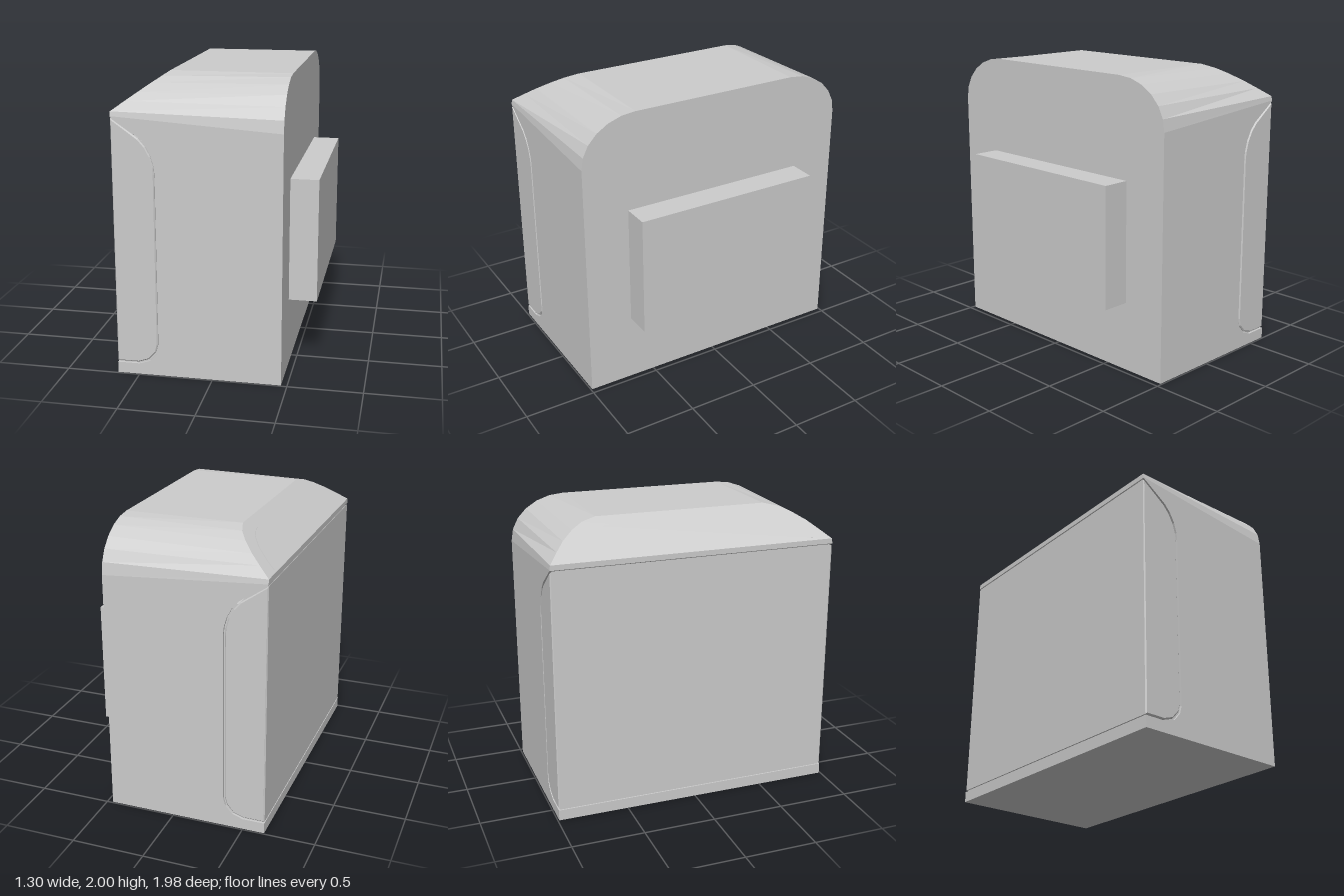
import * as THREE from 'three';

const material = new THREE.MeshStandardMaterial({ color: 0xcccccc, flatShading: true, side: THREE.DoubleSide });

function add(group, name, geometry) {
  const mesh = new THREE.Mesh(geometry, material);
  mesh.name = name;
  group.add(mesh);
  return mesh;
}

function box(x0, x1, y0, y1, halfZ) {
  return new THREE.BoxGeometry(x1 - x0, y1 - y0, halfZ * 2).translate((x0 + x1) / 2, (y0 + y1) / 2, 0);
}

// Mirror a half profile (z+ side, going up) into a full one across z
const mirror = half => [...half, ...half.map(([x, y, z]) => [x, y, -z]).reverse()];

// Triangles between two matching rows, and a fan over a convex outline
function skin(a, b) {
  const tris = [];
  for (let i = 0; i < a.length - 1; i++) tris.push(a[i], b[i], b[i + 1], a[i], b[i + 1], a[i + 1]);
  return tris;
}
function cap(p) {
  const tris = [];
  for (let i = 1; i < p.length - 1; i++) tris.push(p[0], p[i], p[i + 1]);
  return tris;
}
function fromTriangles(points) {
  const g = new THREE.BufferGeometry();
  g.setAttribute('position', new THREE.Float32BufferAttribute(points.flat(), 3));
  g.computeVertexNormals();
  return g;
}

// Height of the sloping rear roof at a given x
const slopeY = x => 2 - (-0.35 - x) * 0.717;

export function createModel() {
  const group = new THREE.Group();

  // Rear panel outline with rounded inner corners, from top to bottom
  const notch = [[-0.65, 1.75], [-0.465, 1.625], [-0.42, 1.575], [-0.385, 1.51], [-0.365, 1.44], [-0.36, 1.39],
    [-0.36, 0.21], [-0.375, 0.155], [-0.425, 0.1], [-0.5, 0.075], [-0.65, 0.075]]
    .map(([x, y]) => new THREE.Vector2(x, y));

  // Main body with the notch that receives the rear panel
  const bodyShape = new THREE.Shape([
    new THREE.Vector2(-0.65, 0), new THREE.Vector2(0.46, 0),
    new THREE.Vector2(0.46, 1.68), new THREE.Vector2(-0.65, 1.755), ...notch]);
  add(group, 'body', new THREE.ExtrudeGeometry(bodyShape, { depth: 1.98, bevelEnabled: false }).translate(0, 0, -0.99));

  // Core closing the bottom of the groove
  add(group, 'grooveFloor', box(-0.64, -0.34, 0.04, 1.6, 0.975));
  add(group, 'upperGrooveFloor', box(-0.64, -0.5, 1.6, 1.752, 0.975));

  // Rear panel, slightly smaller than the notch, with softened edges
  const panelShape = new THREE.Shape(notch.map(p =>
    new THREE.Vector2(-0.65 + (p.x + 0.65) * 0.965, 0.91 + (p.y - 0.91) * 0.988)));
  add(group, 'rearPanel', new THREE.ExtrudeGeometry(panelShape, {
    depth: 1.964, bevelEnabled: true, bevelThickness: 0.008, bevelSize: 0.008, bevelOffset: -0.008, bevelSegments: 1,
  }).translate(0, 0, -0.982));

  // Roof: rounded shoulders running from the sloped rear to the upright front
  const rear = mirror([[-0.65, 1.755, 0.99],
    ...[[-0.65, 0.985], [-0.57, 0.92], [-0.5, 0.86], [-0.43, 0.78], [-0.38, 0.7], [-0.35, 0.6]]
      .map(([x, z]) => [x, slopeY(x), z])]);
  const front = mirror(Array.from({ length: 7 }, (_, i) => {
    const a = i / 6 * Math.PI / 2;
    return [0.46, 1.68 + 0.32 * Math.sin(a), 0.6 + 0.39 * Math.cos(a)];
  }));
  add(group, 'roof', fromTriangles([
    ...skin(rear, front),
    ...cap([...front].reverse()),
    ...cap(rear.slice(1, -1)),
    ...cap([rear[0], rear[1], rear.at(-2), rear.at(-1)]),
  ]));

  // Thin raised field on the sloped rear roof
  const field = mirror([[-0.635, 0.84], [-0.58, 0.805], [-0.5, 0.73], [-0.45, 0.65], [-0.425, 0.58], [-0.415, 0.5]]
    .map(([x, z]) => [x, slopeY(x), z]));
  const raised = field.map(([x, y, z]) => [x - 0.003, y + 0.004, z]);
  add(group, 'roofField', fromTriangles([...skin(raised, field), ...cap(raised)]));

  // Block projecting from the +x side
  add(group, 'sideBlock', box(0.45, 0.65, 0.48, 1.32, 0.67));

  return group;
}
